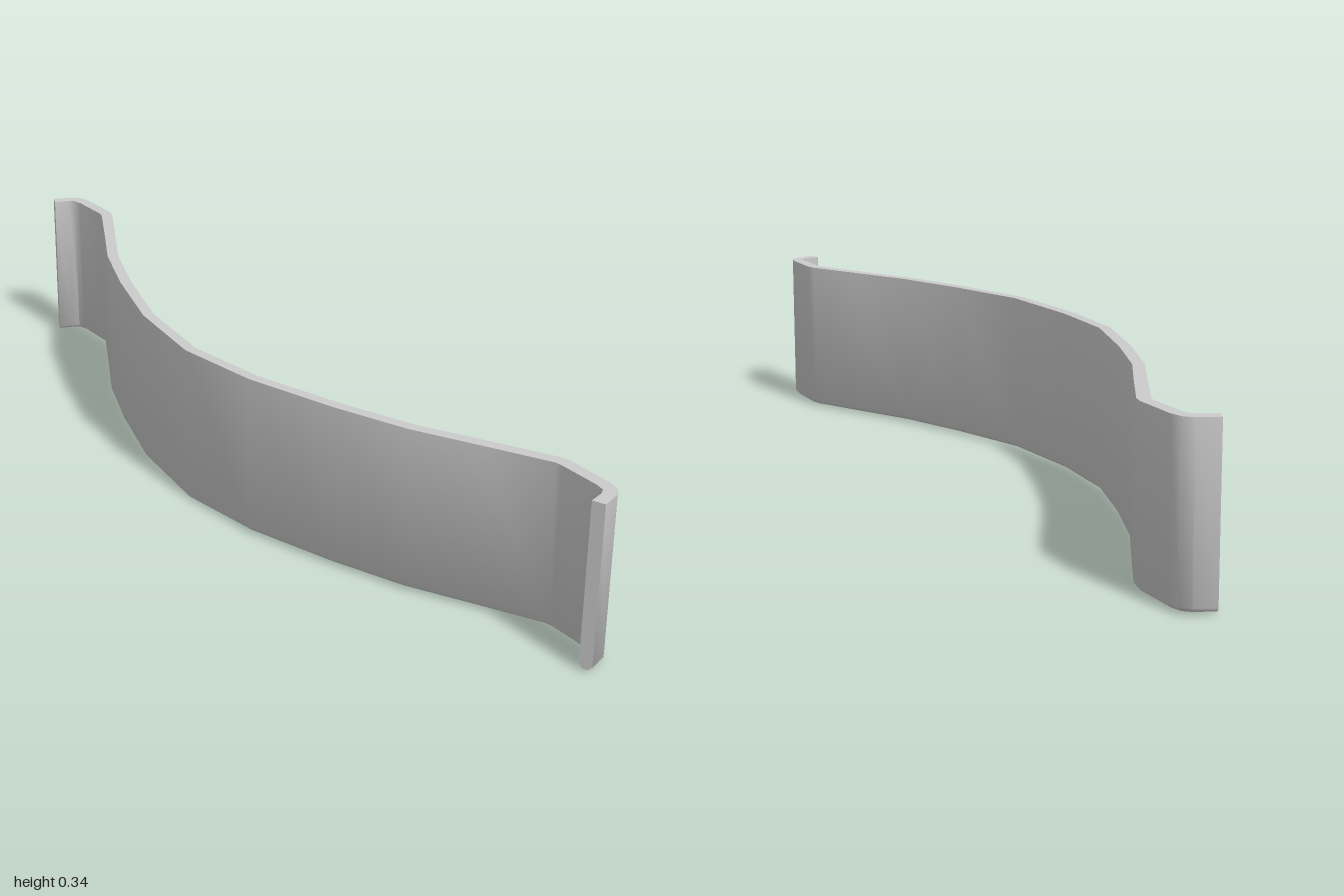
import * as THREE from 'three';
import { toCreasedNormals } from 'three/addons/utils/BufferGeometryUtils.js';

// Half of the strip in plan, middle to hooked tip: [left x, left z, right x, right z]
const HALF = [
  [-0.152, 0, -0.128, 0],
  [-0.13, 0.205, -0.107, 0.2],
  [-0.07, 0.405, -0.048, 0.395],
  [-0.01, 0.565, 0.012, 0.555],
  [0.06, 0.7, 0.083, 0.69],
  [0.124, 0.826, 0.146, 0.812],
  [0.126, 0.842, 0.152, 0.835],
  [0.125, 0.935, 0.152, 0.94],
  [0.121, 0.955, 0.145, 0.968],
  [0.109, 0.964, 0.128, 0.984],
  [0.076, 0.975, 0.086, 1.0],
];

// Cross-section, counterclockwise: [share of the thickness, height]; lower edge rounded
const SECTION = [[0, 0.345], [0, 0.012], [0.3, 0.004], [0.7, 0.004], [1, 0.012], [1, 0.345]];

function stripGeometry() {
  const mirrored = HALF.slice(1).reverse().map(([lx, lz, rx, rz]) => [lx, -lz, rx, -rz]);
  const stations = [...mirrored, ...HALF];
  const n = SECTION.length;
  const positions = [];
  const index = [];

  stations.forEach(([lx, lz, rx, rz], i) => {
    const drop = i === mirrored.length ? 0.004 : 0; // the middle sags a little
    for (const [t, y] of SECTION) {
      positions.push(lx + (rx - lx) * t, y - drop, lz + (rz - lz) * t);
    }
    if (i === 0) return;
    for (let j = 0; j < n; j++) {
      const k = (j + 1) % n;
      const a = (i - 1) * n + j, b = (i - 1) * n + k, c = i * n + k, d = i * n + j;
      index.push(a, b, c, a, c, d);
    }
  });

  // End caps
  const last = (stations.length - 1) * n;
  for (let j = 1; j < n - 1; j++) {
    index.push(0, j + 1, j, last, last + j, last + j + 1);
  }

  const geometry = new THREE.BufferGeometry();
  geometry.setAttribute('position', new THREE.Float32BufferAttribute(positions, 3));
  geometry.setIndex(index);
  return toCreasedNormals(geometry, THREE.MathUtils.degToRad(50));
}

export function createModel() {
  const group = new THREE.Group();
  group.name = 'curvedStrip';
  const strip = new THREE.Mesh(stripGeometry(), new THREE.MeshStandardMaterial({ color: 0xcccccc }));
  strip.name = 'bowedBandWithHookedEnds';
  group.add(strip);
  return group;
}
